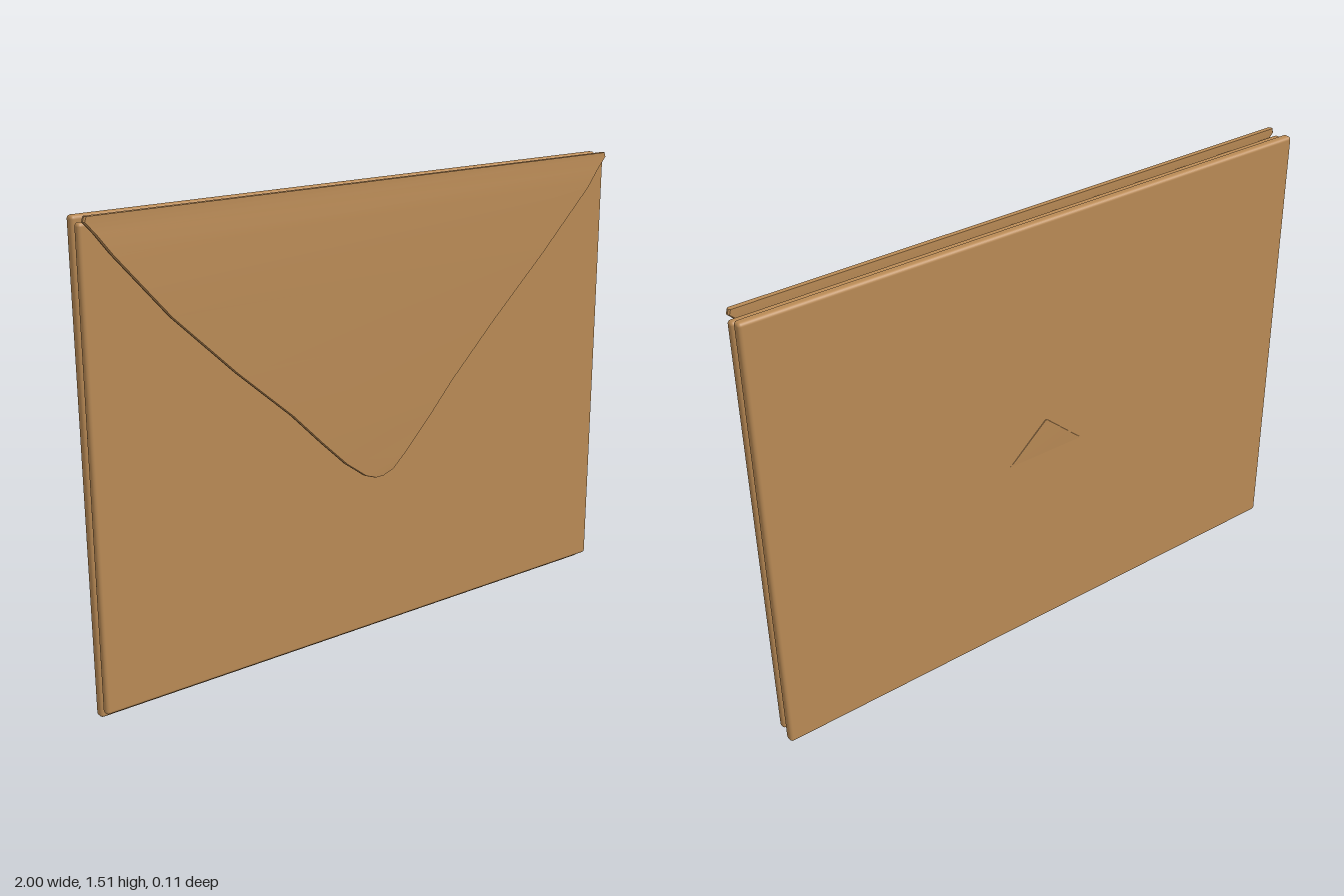
import * as THREE from 'three';
import { toCreasedNormals } from 'three/addons/utils/BufferGeometryUtils.js';
import { RoundedBoxGeometry } from 'three/addons/geometries/RoundedBoxGeometry.js';

// Lofts a thin sheet through rows of [y, xLeft, xRight, z], listed from bottom to top.
function sheet(rows, thickness) {
  const t = thickness / 2;
  const positions = [];
  const index = [];
  const n = 8;
  for (const [y, x0, x1, z] of rows) {
    const c = Math.min(t * 0.6, (x1 - x0) / 4);
    const b = t * 0.45;
    positions.push(
      x1, y, z - b, x1, y, z + b, x1 - c, y, z + t, x0 + c, y, z + t,
      x0, y, z + b, x0, y, z - b, x0 + c, y, z - t, x1 - c, y, z - t
    );
  }
  for (let r = 0; r < rows.length - 1; r++) {
    for (let i = 0; i < n; i++) {
      const a = r * n + i;
      const c = r * n + ((i + 1) % n);
      index.push(a, a + n, c, c, a + n, c + n);
    }
  }
  // close both ends
  const top = (rows.length - 1) * n;
  for (let i = 1; i < n - 1; i++) {
    index.push(0, i, i + 1, top, top + i + 1, top + i);
  }
  const geometry = new THREE.BufferGeometry();
  geometry.setAttribute('position', new THREE.Float32BufferAttribute(positions, 3));
  geometry.setIndex(index);
  return toCreasedNormals(geometry, 0.5);
}

export function createModel() {
  const group = new THREE.Group();
  group.name = 'envelope';
  const paper = new THREE.MeshStandardMaterial({ color: 0xb98a55 });
  paper.name = 'kraft brown paper';

  const add = (name, geometry) => {
    const mesh = new THREE.Mesh(geometry, paper);
    mesh.name = name;
    group.add(mesh);
    return mesh;
  };

  // Rectangular panels with softened rims
  const panel = (name, y0, y1, z0, z1) => {
    const mesh = add(name, new RoundedBoxGeometry(2, y1 - y0, z1 - z0, 3, 0.011));
    mesh.position.set(0, (y0 + y1) / 2, (z0 + z1) / 2);
  };
  panel('backPanel', 0, 1.505, -0.05, -0.018);
  panel('frontPanel', 0.025, 1.49, -0.008, 0.02);

  // Closing flap with a rounded tip, bulging slightly forwards
  add('closingFlap', sheet([
    [0.56, -0.02, 0.02, 0.042],
    [0.575, -0.06, 0.06, 0.043],
    [0.63, -0.135, 0.12, 0.043],
    [0.72, -0.23, 0.205, 0.045],
    [0.83, -0.34, 0.305, 0.045],
    [1.0, -0.535, 0.48, 0.044],
    [1.2, -0.745, 0.7, 0.042],
    [1.4, -0.92, 0.905, 0.041],
    [1.46, -0.965, 0.955, 0.037],
    [1.495, -0.995, 0.99, 0.034],
    [1.51, -0.99, 0.985, 0.034],
  ], 0.016));

  // Hidden lower flap, leaning back until its tip just breaks the back panel
  add('innerFlap', sheet([
    [0.06, -0.93, 0.93, -0.014],
    [0.4, -0.5, 0.5, -0.021],
    [0.6, -0.26, 0.26, -0.035],
    [0.7, -0.13, 0.13, -0.042],
    [0.81, -0.005, 0.005, -0.043],
  ], 0.018));

  return group;
}
